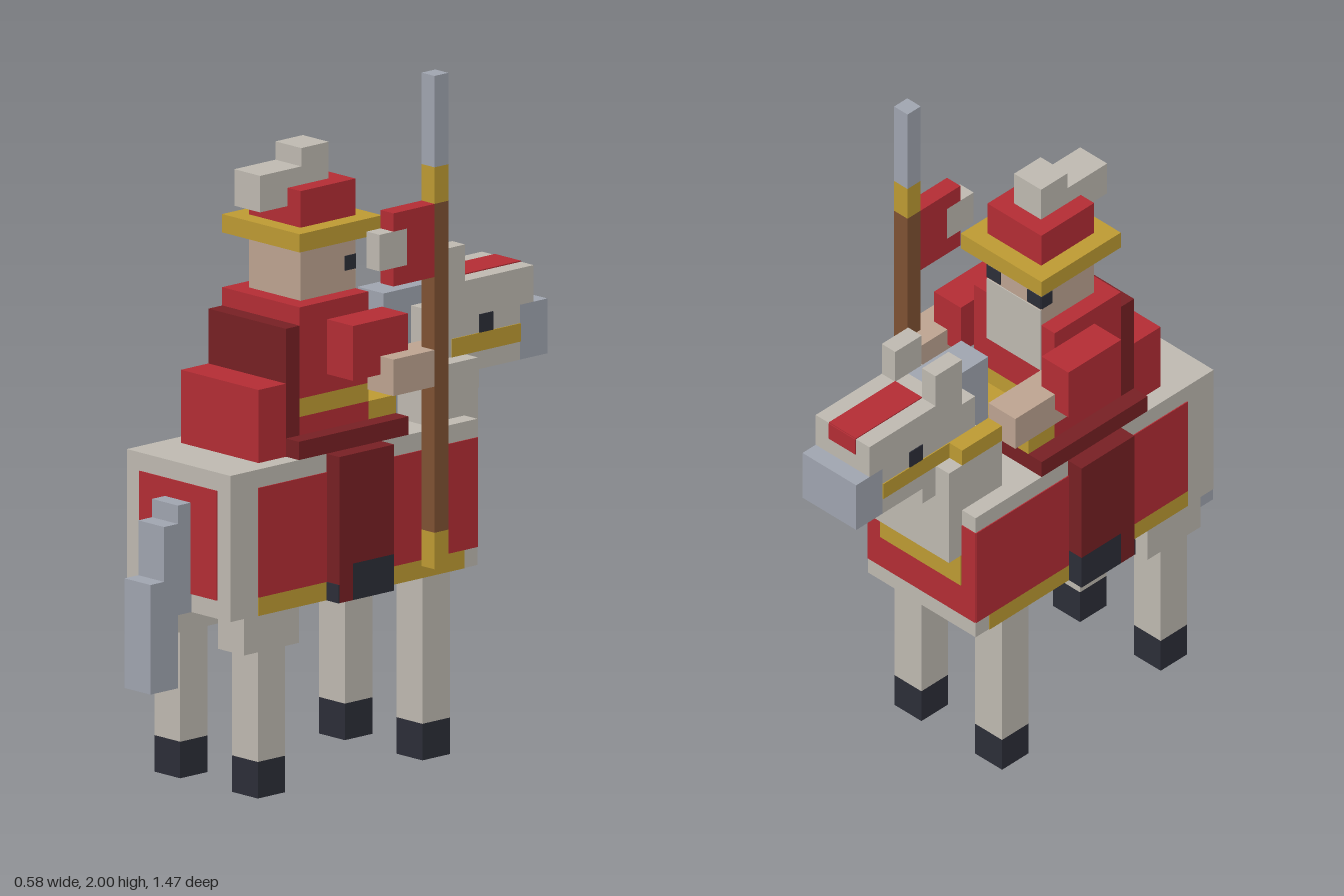
import * as THREE from 'three';

// All parts sit on a regular block grid: 11 wide, 38 high, 28 deep.
const U = 2 / 38;

const material = (name, color) => {
  const m = new THREE.MeshStandardMaterial({ color });
  m.name = name;
  return m;
};

export function createModel() {
  const root = new THREE.Group();
  root.name = 'mountedLancer';

  const cream = material('cream coat', 0xc0bbb2);
  const grey = material('blue grey', 0xa1a6b1);
  const red = material('red cloth', 0xb52d35);
  const maroon = material('dark red', 0x782024);
  const gold = material('gold trim', 0xbf9c33);
  const skin = material('skin', 0xbfa592);
  const brown = material('wood', 0x805233);
  const navy = material('near black', 0x2c2e38);

  // Block given by its grid limits on x, y and z
  function block(name, mat, [x0, x1], [y0, y1], [z0, z1]) {
    const geo = new THREE.BoxGeometry((x1 - x0) * U, (y1 - y0) * U, (z1 - z0) * U);
    const mesh = new THREE.Mesh(geo, mat);
    mesh.position.set(((x0 + x1) / 2 - 5.5) * U, ((y0 + y1) / 2) * U, ((z0 + z1) / 2) * U);
    mesh.name = name;
    root.add(mesh);
    return mesh;
  }
  // Mirrored pair about the horse's own middle plane, x = 5 on the grid
  function pair(name, mat, [x0, x1], y, z) {
    block(name + 'Right', mat, [x0, x1], y, z);
    block(name + 'Left', mat, [10 - x1, 10 - x0], y, z);
  }
  const T = 0.06; // thickness of painted plates, in grid units

  // Horse body and legs
  block('horseBody', cream, [1, 9], [10, 18], [-7, 11]);
  pair('hindThigh', cream, [1, 3], [8, 10], [6, 10]);
  pair('hindLeg', cream, [1, 3], [2, 8], [7, 9]);
  pair('hindHoof', navy, [1, 3], [0, 2], [7, 9]);
  pair('frontLeg', cream, [1, 3], [2, 10], [-5, -3]);
  pair('frontHoof', navy, [1, 3], [0, 2], [-5, -3]);

  // Horse cloth
  pair('clothSide', red, [1 - T, 1], [11, 17], [-7, 9]);
  pair('clothHem', gold, [1 - T, 1], [10, 11], [-6, 9]);
  block('clothRear', red, [2, 8], [11, 17], [11, 11 + T]);
  block('clothChest', red, [1, 9], [11, 17], [-7 - T, -7]);
  block('chestBand', gold, [2, 8], [13, 15], [-7 - 2 * T, -7]);

  // Tail
  block('tailRoot', grey, [4, 6], [14, 16], [11, 12]);
  block('tailMiddle', grey, [4, 6], [10, 15], [11, 13]);
  block('tailEnd', grey, [4, 6], [6, 12], [12, 14]);

  // Neck, mane and horse head
  block('neckBase', cream, [2, 8], [15, 21], [-8, -4]);
  block('neck', cream, [3, 7], [19, 24], [-9, -5]);
  block('mane', grey, [4, 6], [18, 25], [-5, -3]);
  block('maneTop', grey, [4, 6], [24, 25], [-7, -5]);
  block('horseForehead', cream, [3, 7], [23, 25], [-13, -7]);
  block('horseJaw', cream, [3, 7], [20, 23], [-12, -7]);
  block('muzzle', grey, [3, 7], [20, 23], [-14, -12]);
  pair('ear', cream, [3, 4], [24, 27], [-8, -6]);
  block('browStripe', red, [4, 6], [25, 25 + T], [-13, -8]);
  block('browStripeFront', red, [4, 6], [24, 25], [-13 - T, -13]);
  pair('bridle', gold, [3 - T, 3], [21, 22], [-12, -7]);
  pair('horseEye', navy, [3 - T, 3], [22, 23], [-10, -9]);
  block('rein', gold, [2, 3], [21, 22], [-7, -4]);

  // Saddle
  block('saddle', maroon, [1, 9], [18, 19], [-2, 6]);
  block('pommel', gold, [2, 8], [19, 20], [-2, 0]);
  block('saddleBag', red, [2, 8], [18, 22], [6, 8]);

  // Rider's torso
  block('coatSkirt', red, [2, 8], [19, 20], [0, 5]);
  block('belt', gold, [2, 8], [20, 21], [0, 5]);
  block('coat', red, [2, 8], [21, 26], [0, 5]);
  block('backPanel', maroon, [2, 8], [19, 25], [5, 6]);

  // Rider's legs and boots
  pair('riderLeg', maroon, [0, 1], [12, 18], [0, 4]);
  pair('riderCalf', maroon, [0, 1], [10, 12], [3, 4]);
  pair('boot', navy, [0, 1], [10, 12], [0, 3]);
  pair('bootHeel', navy, [0, 1], [10, 11], [4, 4 + T]);

  // Arms and hands
  pair('sleeve', red, [0, 2], [22, 25], [-1, 3]);
  block('reinHand', skin, [1, 3], [21, 23], [-4, 0]);
  block('lanceHand', skin, [9, 11], [21, 23], [-2, 1]);
  block('lanceFingers', skin, [9, 10], [21, 23], [-3, -2]);

  // Rider's head
  block('head', skin, [3, 7], [26, 29], [0, 4]);
  pair('eyeFront', navy, [3, 4], [27.1, 27.9], [-T, 0]);
  pair('eyeSide', navy, [3 - T, 3], [27.1, 27.9], [0, 0.8]);
  block('beard', cream, [3, 7], [23, 27], [-T, 0]);

  // Hat with plume
  block('hatBrim', gold, [2, 8], [29, 30], [-1, 5]);
  block('hatCrown', red, [3, 7], [30, 32], [0, 4]);
  block('plumeTop', cream, [4, 6], [32, 34], [1, 3]);
  block('plumeBack', cream, [4, 6], [31, 33], [3, 6]);

  // Lance: butt, shaft, collar, tip
  const lance = [['lanceButt', gold, 11, 13], ['lanceShaft', brown, 13, 31],
    ['lanceCollar', gold, 31, 33], ['lanceTip', grey, 33, 38]];
  for (const [name, mat, y0, y1] of lance) block(name, mat, [10, 11], [y0, y1], [-3, -2]);

  // Pennant
  block('pennant', red, [10, 11], [27, 31], [-2, 0]);
  block('pennantUpperEdge', red, [10, 11], [30, 31], [0, 1]);
  block('pennantLowerEdge', red, [10, 11], [27, 28], [0, 1]);
  block('pennantTail', cream, [10, 11], [28, 30], [0, 2]);

  return root;
}
